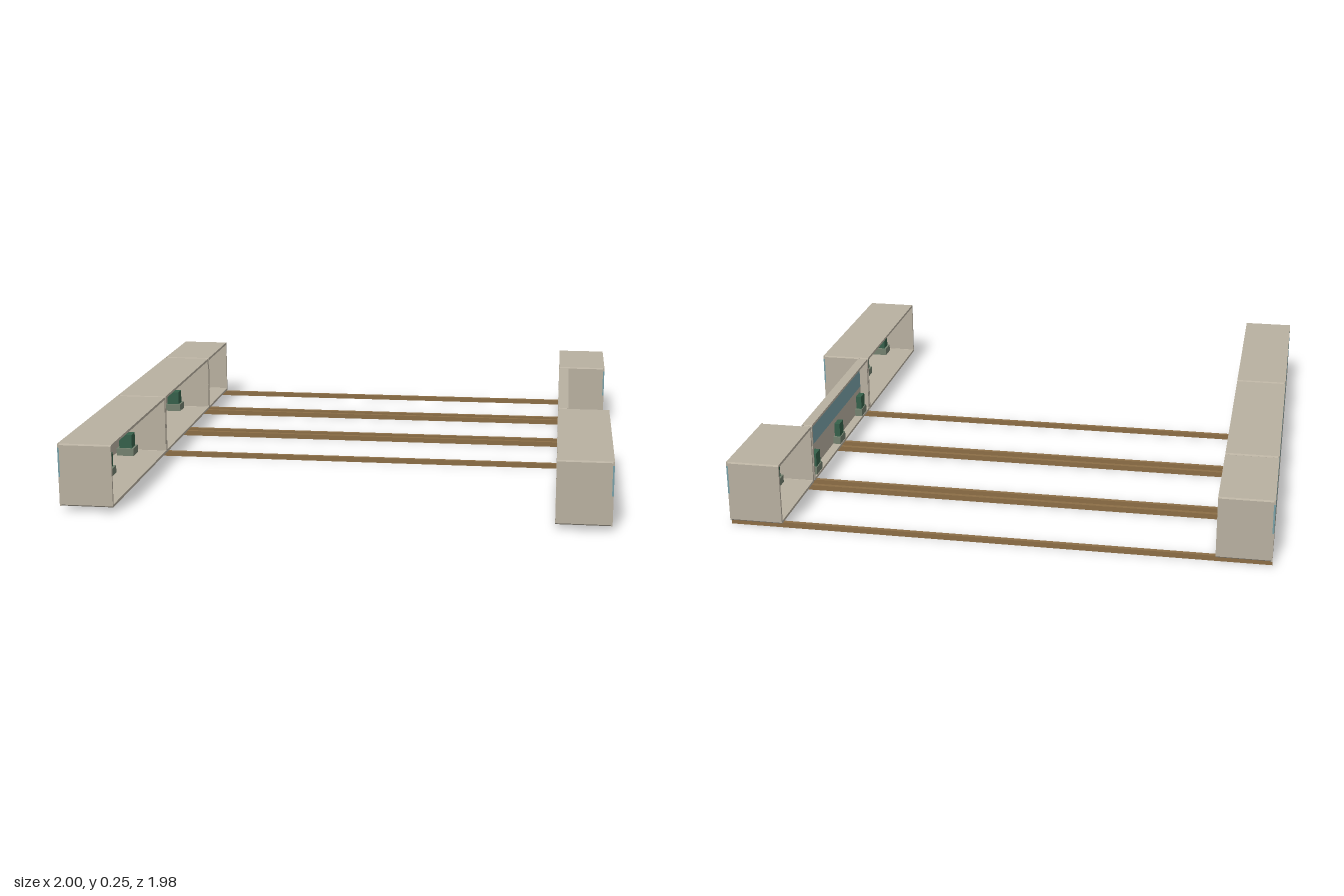
import * as THREE from 'three';

const mat = (name, color) => {
  const m = new THREE.MeshStandardMaterial({ color });
  m.name = name;
  return m;
};

export function createModel() {
  const shellMat = mat('beige shell', 0xb8b0a0);
  const glassMat = mat('teal glass', 0x78a0a8);
  const railMat = mat('brown rail', 0x8c6e46);
  const baseMat = mat('sage base', 0x74816f);
  const greenMat = mat('dark green', 0x35604a);

  const group = new THREE.Group();
  group.name = 'slidingRooms';

  const box = (parent, name, m, x0, x1, y0, y1, z0, z1) => {
    const mesh = new THREE.Mesh(
      new THREE.BoxGeometry(Math.abs(x1 - x0), y1 - y0, z1 - z0), m);
    mesh.position.set((x0 + x1) / 2, (y0 + y1) / 2, (z0 + z1) / 2);
    mesh.name = name;
    parent.add(mesh);
    return mesh;
  };

  const FLOOR = 0.02, ROOF = 0.255, INNER = 0.8, SKIN = 0.006, WALL = 0.01;

  // Rectangle with small chamfered corners
  const outline = (PathType, w, y0, y1, c) => {
    const h = w / 2;
    return new PathType([
      [-h + c, y0], [h - c, y0], [h, y0 + c], [h, y1 - c],
      [h - c, y1], [-h + c, y1], [-h, y1 - c], [-h, y0 + c],
    ].map(([x, y]) => new THREE.Vector2(x, y)));
  };

  // Planted box standing on the room floor against the outer wall
  const addPlanter = (room, x, z, depth) => {
    const p = new THREE.Group();
    p.name = 'planter';
    const d = depth / 2, y = FLOOR + WALL;
    box(p, 'planterBase', baseMat, x - d, x + d, y, y + 0.03, z - 0.035, z + 0.035);
    box(p, 'planterCrown', greenMat, x - d * 0.75, x + d * 0.75, y + 0.03, y + 0.085, z - 0.025, z + 0.025);
    room.add(p);
  };

  // Room: hollow frame open toward the middle, closed by a wall with a glass band
  const addRoom = (side, outer, z0, z1, spacing) => {
    const room = new THREE.Group();
    room.name = side > 0 ? 'leftRoom' : 'rightRoom';
    const len = z1 - z0, zc = (z0 + z1) / 2, depth = outer - INNER;

    const ring = outline(THREE.Shape, len, FLOOR, ROOF, 0.005);
    ring.holes.push(outline(THREE.Path, len - 2 * WALL, FLOOR + WALL, ROOF - WALL, 0.001));
    const frame = new THREE.Mesh(
      new THREE.ExtrudeGeometry(ring, { depth: depth - SKIN, bevelEnabled: false }), shellMat);
    frame.rotation.y = Math.PI / 2;
    frame.position.set(side > 0 ? INNER : -outer + SKIN, 0, zc);
    frame.name = 'roomFrame';
    room.add(frame);

    const xa = side * (outer - SKIN), xb = side * outer;
    box(room, 'lowerWall', shellMat, xa, xb, FLOOR, 0.13, z0, z1);
    box(room, 'windowBand', glassMat, xa, xb, 0.13, 0.24, z0, z1);
    box(room, 'headerWall', shellMat, xa, xb, 0.24, ROOF, z0, z1);

    const pd = Math.min(0.07, depth - SKIN - 0.004);
    for (const k of [-1, 0, 1]) {
      addPlanter(room, side * (outer - SKIN - 0.002 - pd / 2 - (depth > 0.1 ? 0.012 : 0)), zc + k * spacing, pd);
    }
    group.add(room);
  };

  // Three rooms per row; the middle one on the left is pushed in
  const spans = [[0.202, 0.99, 0.32], [-0.594, 0.196, 0.32], [-0.993, -0.602, 0.12]];
  for (const side of [-1, 1]) {
    spans.forEach(([z0, z1, s], i) =>
      addRoom(side, side > 0 && i === 1 ? 0.84 : 1, z0, z1, s));
  }

  // Guide rails under the back and middle rooms
  for (const z of [0.172, -0.175, -0.228, -0.572, -0.625, -0.97]) {
    box(group, 'rail', railMat, -1, z > -0.6 ? 0.84 : 1, 0, FLOOR, z - 0.008, z + 0.008);
  }
  return group;
}
